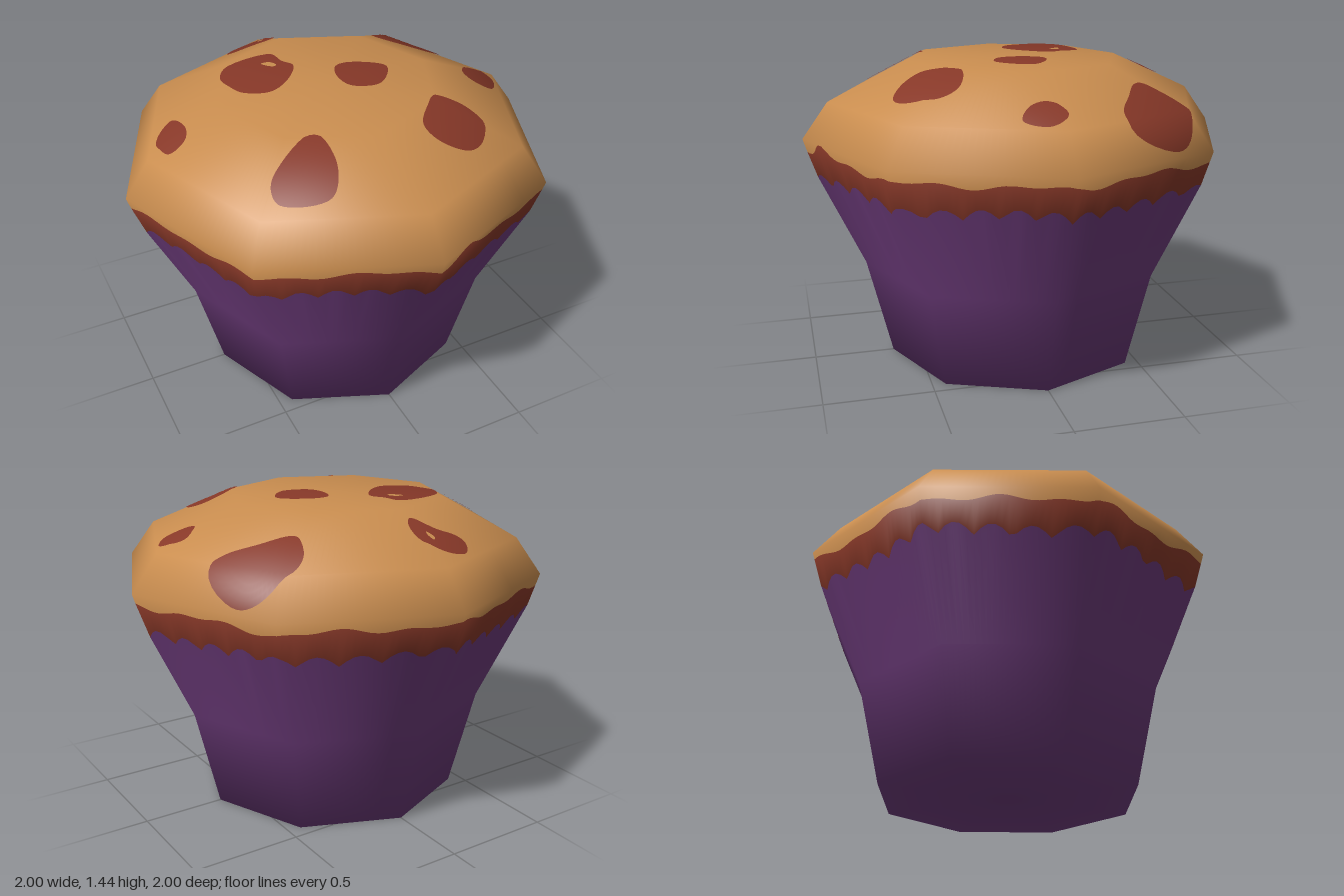
import * as THREE from 'three';

const SIDES = 8, STEPS = 24, COUNT = SIDES * STEPS;

// Eight-sided outline from base centre to top centre: [radius, height, x shift]
const PROFILE = [
  [0, 0, 0], [0.62, 0, 0], [0.735, 0.47, 0], [0.95, 0.93, 0],
  [1, 1.09, 0], [0.88, 1.255, -0.003], [0.51, 1.428, -0.04], [0, 1.433, -0.02],
];

// Smooth outline normals, averaged from neighbouring segments
const segNormals = PROFILE.slice(1).map((p, i) =>
  new THREE.Vector2(p[1] - PROFILE[i][1], PROFILE[i][0] - p[0]).normalize());
const NORMALS = PROFILE.map((p, i) => {
  if (i === 0) return new THREE.Vector2(0, -1);
  if (i === PROFILE.length - 1) return new THREE.Vector2(0, 1);
  return segNormals[i - 1].clone().add(segNormals[i]).normalize();
});

// Outline parameter for a height near the paper edge
const paramAt = (y) => (y < 0.93 ? 2 + (y - 0.47) / 0.46 : 3 + (y - 0.93) / 0.16);

// Scalloped paper edge and wavy crust edge
const paperEdge = (a) => paramAt(0.885 + 0.05 * Math.abs(Math.sin(18 * a + 0.6 * Math.sin(3 * a)))
  + 0.008 * Math.sin(7 * a));
const crustEdge = (a) => paramAt(1.042 + 0.01 * Math.sin(11 * a) + 0.008 * Math.sin(23 * a + 1)
  + 0.04 * Math.exp(-(((a - 1.4) / 0.07) ** 2)));

// Skin between rows, each row giving the outline parameter around the body
function skin(rows) {
  const pos = [], nor = [], idx = [];
  rows.forEach((row, r) => {
    for (let i = 0; i <= COUNT; i++) {
      const a = (i / COUNT) * Math.PI * 2;
      const s = typeof row === 'function' ? row(a) : row;
      const k = Math.min(Math.floor(s), PROFILE.length - 2), f = s - k;
      const [rad, y, shift] = PROFILE[k].map((v, j) => THREE.MathUtils.lerp(v, PROFILE[k + 1][j], f));
      const n = NORMALS[k].clone().lerp(NORMALS[k + 1], f).normalize();
      // straight edge between two octagon corners
      const c = Math.floor(i / STEPS), t = (i % STEPS) / STEPS;
      const a0 = c * Math.PI * 2 / SIDES, a1 = (c + 1) * Math.PI * 2 / SIDES;
      const x = THREE.MathUtils.lerp(Math.cos(a0), Math.cos(a1), t);
      const z = THREE.MathUtils.lerp(Math.sin(a0), Math.sin(a1), t);
      pos.push(x * rad + shift, y, z * rad);
      nor.push(Math.cos(a) * n.x, n.y, Math.sin(a) * n.x);
      if (r > 0 && i < COUNT) {
        const d = r * (COUNT + 1) + i, b = d - COUNT - 1;
        idx.push(b, d, b + 1, b + 1, d, d + 1);
      }
    }
  });
  return makeGeometry(pos, nor, idx);
}

function makeGeometry(pos, nor, idx) {
  const g = new THREE.BufferGeometry();
  g.setAttribute('position', new THREE.Float32BufferAttribute(pos, 3));
  g.setAttribute('normal', new THREE.Float32BufferAttribute(nor, 3));
  g.setIndex(idx);
  return g;
}

// Thin patch draped over the dome from a top outline of [x, z] points
function patch(dome, outline, lift) {
  const RINGS = 8, N = 48;
  const curve = new THREE.CatmullRomCurve3(
    outline.map(([x, z]) => new THREE.Vector3(x, 0, z)), true, 'centripetal');
  const rim = curve.getPoints(N).slice(0, N);
  const mid = rim.reduce((m, p) => m.add(p), new THREE.Vector3()).divideScalar(N);
  const ray = new THREE.Raycaster();
  const down = new THREE.Vector3(0, -1, 0);
  const pos = [], nor = [], idx = [];
  for (let r = 0; r <= RINGS; r++) {
    for (let i = 0; i < N; i++) {
      const p = mid.clone().lerp(rim[i], r / RINGS);
      ray.set(new THREE.Vector3(p.x + 0.00013, 3, p.z + 0.00017), down);
      const hit = ray.intersectObject(dome)[0];
      const n = hit ? hit.normal : new THREE.Vector3(0, 1, 0);
      const q = hit ? hit.point : p.setY(1.2);
      pos.push(q.x + n.x * lift, q.y + n.y * lift, q.z + n.z * lift);
      nor.push(n.x, n.y, n.z);
      if (r > 0) {
        const j = (i + 1) % N, o = r * N, u = o - N;
        idx.push(u + i, o + j, o + i, u + i, u + j, o + j);
      }
    }
  }
  return makeGeometry(pos, nor, idx);
}

// Chocolate chunk outlines seen from above
const CHUNKS = [
  [[-0.24, -0.7], [-0.18, -0.78], [-0.07, -0.78], [0, -0.71], [-0.01, -0.6], [-0.05, -0.57], [-0.14, -0.63], [-0.22, -0.66]],
  [[0.45, -0.46], [0.49, -0.57], [0.59, -0.63], [0.7, -0.6], [0.77, -0.51], [0.78, -0.3], [0.7, -0.29], [0.57, -0.36], [0.47, -0.42]],
  [[-0.45, -0.23], [-0.38, -0.33], [-0.15, -0.36], [-0.13, -0.27], [-0.1, -0.21], [-0.16, -0.11], [-0.26, -0.03], [-0.32, -0.02], [-0.41, -0.07], [-0.44, -0.15]],
  [[-0.82, -0.06], [-0.77, -0.15], [-0.71, -0.18], [-0.69, -0.05], [-0.72, 0.04], [-0.8, 0.05]],
  [[0.03, -0.01], [0.07, -0.11], [0.14, -0.12], [0.28, -0.02], [0.24, 0.07], [0.16, 0.13], [0.05, 0.09]],
  [[0.67, 0.04], [0.75, -0.03], [0.81, 0], [0.83, 0.07], [0.76, 0.16], [0.68, 0.11]],
  [[-0.54, 0.54], [-0.5, 0.48], [-0.28, 0.39], [-0.25, 0.54], [-0.33, 0.66], [-0.53, 0.6]],
  [[0.19, 0.48], [0.27, 0.38], [0.34, 0.32], [0.46, 0.36], [0.5, 0.47], [0.42, 0.59], [0.33, 0.62], [0.22, 0.56]],
];

// Small crumbs showing through two chunks
const CRUMBS = [
  [[-0.08, -0.69], [-0.06, -0.71], [-0.05, -0.68], [-0.06, -0.66]],
  [[-0.23, -0.28], [-0.19, -0.28], [-0.17, -0.24], [-0.19, -0.23]],
];

export function createModel() {
  const material = (name, color) => {
    const m = new THREE.MeshStandardMaterial({ color });
    m.name = name;
    return m;
  };
  const cake = material('golden cake', 0xc98d4f);
  const chocolate = material('chocolate brown', 0x873828);
  const paper = material('purple paper', 0x6e3c7c);

  const group = new THREE.Group();
  group.name = 'muffin';
  const add = (name, geometry, mat) => {
    const mesh = new THREE.Mesh(geometry, mat);
    mesh.name = name;
    group.add(mesh);
    return mesh;
  };

  add('paperCup', skin([0, 1, 2, paperEdge]), paper);
  add('crustBand', skin([paperEdge, crustEdge]), chocolate);
  const dome = add('cakeTop', skin([crustEdge, 4, 5, 6, 7]), cake);
  CHUNKS.forEach((c, i) => add(`chocolateChunk${i + 1}`, patch(dome, c, 0.005), chocolate));
  CRUMBS.forEach((c, i) => add(`crumb${i + 1}`, patch(dome, c, 0.008), cake));
  return group;
}
